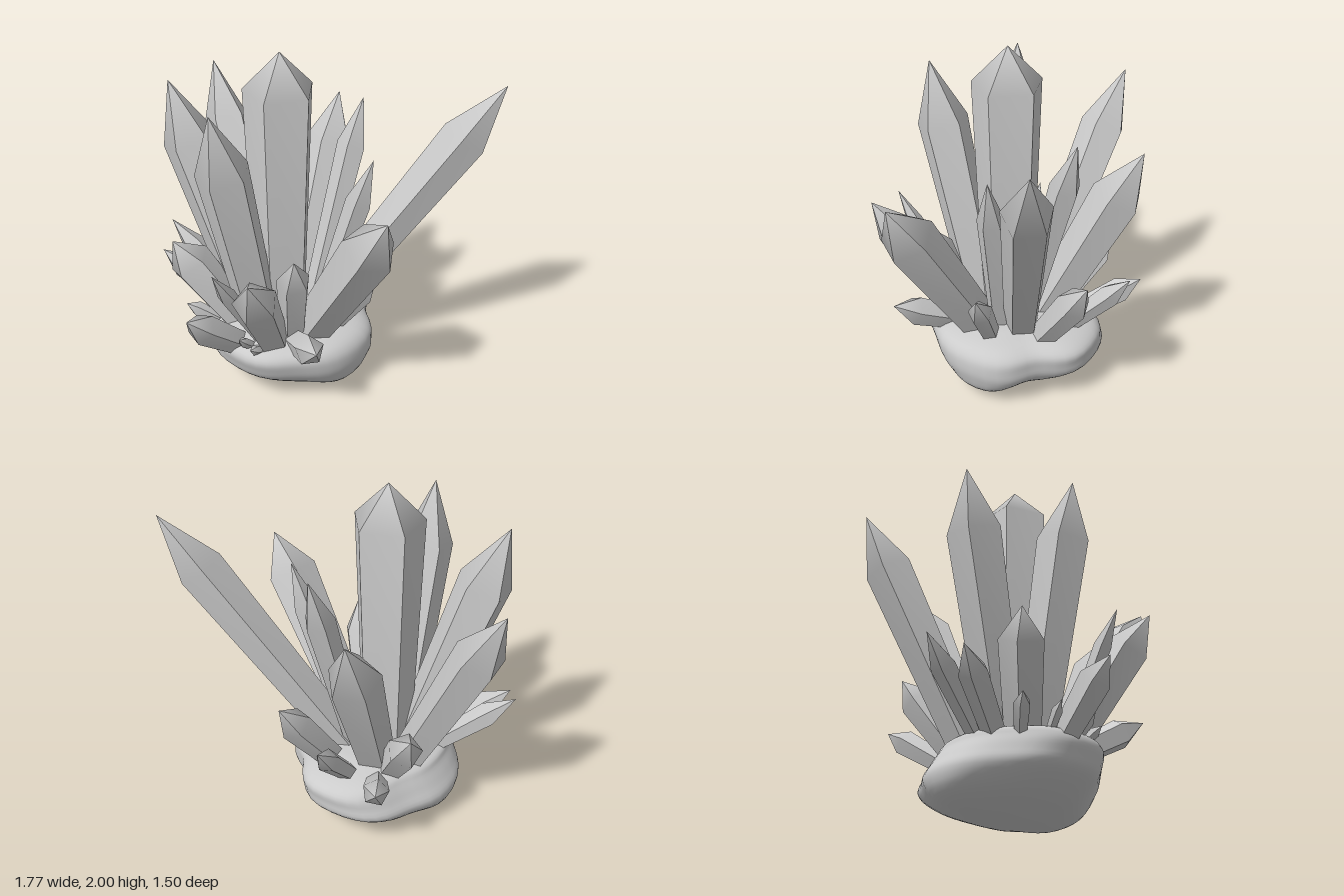
import * as THREE from 'three';
import { mergeGeometries } from 'three/addons/utils/BufferGeometryUtils.js';

const stone = new THREE.MeshStandardMaterial({ color: 0xcccccc });

// Five-sided crystal from base to tip: each side runs smoothly from shaft into cap, with sharp ridges between
function crystal(name, base, tip, radius, cap = 0.2) {
  const from = new THREE.Vector3(...base);
  const dir = new THREE.Vector3(...tip).sub(from);
  const len = dir.length();
  const profile = [
    new THREE.Vector2(radius * 0.77, 0),
    new THREE.Vector2(radius, len * (1 - cap)),
    new THREE.Vector2(0, len),
  ];
  const sides = [];
  const step = (Math.PI * 2) / 5;
  for (let i = 0; i < 5; i++) {
    const side = new THREE.LatheGeometry(profile, 1, Math.PI / 2 + i * step, step);
    side.computeVertexNormals();
    sides.push(side);
  }
  const mesh = new THREE.Mesh(mergeGeometries(sides), stone);
  mesh.name = name;
  mesh.position.copy(from);
  mesh.quaternion.setFromUnitVectors(new THREE.Vector3(0, 1, 0), dir.normalize());
  return mesh;
}

// Smooth boulder, lofted through rings of [y, left edge, right edge, front edge, back edge]
function boulder() {
  const rings = [
    [0.0, -0.12, 0.08, 0.0, -0.16],
    [0.025, -0.35, 0.28, 0.1, -0.24],
    [0.09, -0.5, 0.41, 0.27, -0.4],
    [0.19, -0.54, 0.455, 0.42, -0.56],
    [0.27, -0.5, 0.465, 0.46, -0.578],
    [0.34, -0.455, 0.45, 0.475, -0.575],
    [0.39, -0.425, 0.39, 0.43, -0.49],
    [0.425, -0.3, 0.25, 0.28, -0.31],
  ];
  // Worn-off corners: [angle in degrees, depth]
  const worn = [[45, 0.1], [135, 0.19], [238, 0.12], [315, 0.06]];
  const spanX = new THREE.CatmullRomCurve3(rings.map(r => new THREE.Vector3(r[1], r[0], r[2])), false, 'catmullrom');
  const spanZ = new THREE.CatmullRomCurve3(rings.map(r => new THREE.Vector3(r[3], r[0], r[4])), false, 'catmullrom');
  const rows = 28, cols = 48, pos = [], index = [];
  const bend = v => Math.sign(v) * Math.abs(v) ** 0.88;
  for (let i = 0; i <= rows; i++) {
    const X = spanX.getPoint(i / rows), Z = spanZ.getPoint(i / rows);
    for (let j = 0; j < cols; j++) {
      const a = (j / cols) * Math.PI * 2;
      const lump = worn.reduce((s, [deg, depth]) =>
        s - depth * Math.max(0, Math.cos(a - THREE.MathUtils.degToRad(deg))) ** 12, 1);
      pos.push(
        (X.x + X.z) / 2 + ((X.z - X.x) / 2) * bend(Math.sin(a)) * lump,
        Math.max(0, X.y),
        (Z.x + Z.z) / 2 + ((Z.x - Z.z) / 2) * bend(Math.cos(a)) * lump);
    }
  }
  const bottom = pos.length / 3;
  pos.push(-0.02, 0, -0.08, -0.02, 0.43, -0.02);
  for (let j = 0; j < cols; j++) {
    const k = (j + 1) % cols;
    for (let i = 0; i < rows; i++) {
      const a = i * cols + j, b = i * cols + k;
      index.push(a, b, b + cols, a, b + cols, a + cols);
    }
    index.push(bottom, k, j, bottom + 1, rows * cols + j, rows * cols + k);
  }
  const geo = new THREE.BufferGeometry();
  geo.setAttribute('position', new THREE.Float32BufferAttribute(pos, 3));
  geo.setIndex(index);
  geo.computeVertexNormals();
  const mesh = new THREE.Mesh(geo, stone);
  mesh.name = 'boulder';
  return mesh;
}

export function createModel() {
  const group = new THREE.Group();
  group.name = 'crystalCluster';
  group.add(boulder());

  // Tall shards: base, tip, radius, cap share of the length
  const tall = [
    [[-0.07, 0.3, 0], [-0.07, 2, 0.015], 0.2, 0.125],
    [[0.05, 0.3, -0.15], [0.885, 1.87, -0.65], 0.13, 0.19],
    [[-0.25, 0.3, -0.08], [-0.885, 1.64, -0.3], 0.135, 0.23],
    [[-0.19, 0.3, 0.1], [-0.64, 1.77, 0.28], 0.155, 0.23],
    [[-0.07, 0.3, 0.17], [-0.085, 1.81, 0.52], 0.15, 0.23],
    [[0.14, 0.3, 0.04], [0.795, 1.4, 0.2], 0.15, 0.19],
    [[-0.12, 0.3, -0.18], [-0.245, 1.49, -0.71], 0.145, 0.23],
    [[0.13, 0.3, -0.06], [0.43, 1.48, -0.16], 0.075, 0.22],
    [[0.03, 0.3, -0.14], [0.1, 1.63, -0.49], 0.085, 0.2],
  ];
  // Medium shards leaning outward around the rim
  const medium = [
    [[0.07, 0.3, 0.22], [0.31, 1.06, 0.68], 0.125, 0.25],
    [[-0.16, 0.3, 0.2], [-0.44, 0.93, 0.5], 0.125, 0.22],
    [[0.04, 0.3, 0.26], [0.055, 1.01, 0.68], 0.05, 0.25],
    [[0.12, 0.3, 0.12], [0.3, 1.02, 0.32], 0.095, 0.22],
    [[-0.06, 0.3, 0.33], [-0.085, 0.685, 0.75], 0.09, 0.25],
    [[-0.28, 0.3, 0.06], [-0.79, 0.79, 0.19], 0.07, 0.27],
    [[-0.25, 0.3, 0.13], [-0.69, 0.7, 0.36], 0.08, 0.25],
    [[0.2, 0.3, -0.05], [0.51, 0.79, -0.13], 0.07, 0.25],
    [[0.13, 0.33, 0.14], [0.53, 0.58, 0.4], 0.085, 0.27],
    [[-0.2, 0.3, -0.2], [-0.48, 0.82, -0.46], 0.1, 0.25],
    [[-0.2, 0.33, -0.33], [-0.4, 0.59, -0.69], 0.075, 0.27],
    [[-0.05, 0.3, -0.33], [-0.09, 0.79, -0.75], 0.065, 0.25],
    [[0.09, 0.3, -0.27], [0.22, 0.88, -0.64], 0.095, 0.25],
  ];
  // Little shards along the front edge
  const small = [
    [[-0.28, 0.36, 0.31], [-0.4, 0.5, 0.46], 0.045, 0.3],
    [[-0.14, 0.36, 0.36], [-0.18, 0.5, 0.5], 0.03, 0.3],
    [[0.04, 0.36, 0.36], [0.055, 0.49, 0.5], 0.03, 0.3],
    [[0.1, 0.36, 0.34], [0.12, 0.44, 0.48], 0.03, 0.3],
  ];
  Object.entries({ tall, medium, small }).forEach(([size, list]) =>
    list.forEach((c, i) => group.add(crystal(`${size}Crystal${i + 1}`, ...c))));
  return group;
}
